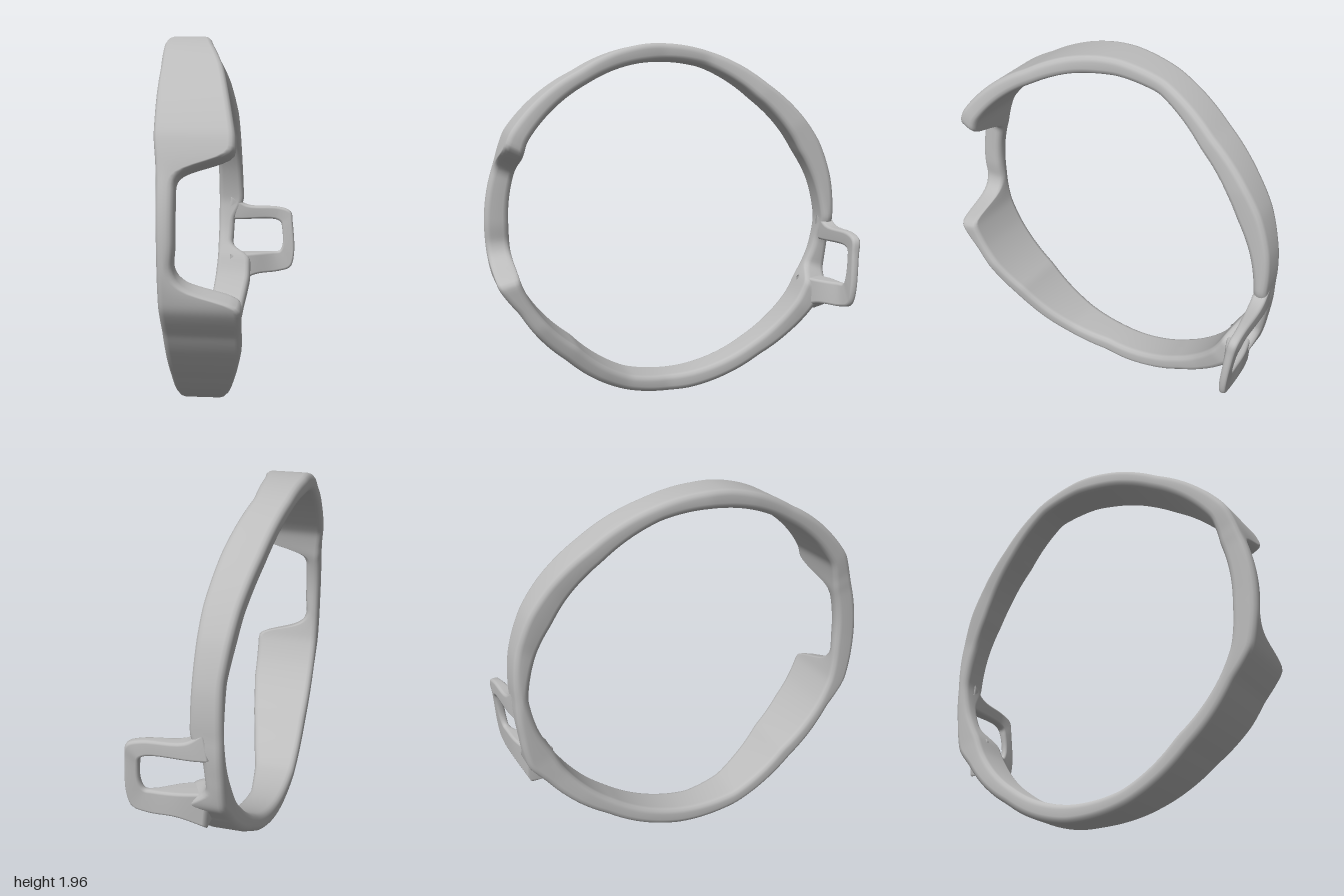
import * as THREE from 'three';

// Outline of the band: [angle from front over the top, outer radius, inner radius]
const RADII = [
  [0, 1.0, 0.87], [20, 1.0, 0.88], [30, 1.02, 0.915], [59, 0.972, 0.886], [84, 0.985, 0.885],
  [106, 0.98, 0.893], [128, 0.968, 0.86], [154, 1.0, 0.862], [167, 0.998, 0.89], [181, 0.985, 0.915],
  [193, 1.0, 0.9], [204, 1.03, 0.875], [211, 1.0, 0.88], [236, 0.962, 0.868], [263, 0.98, 0.88],
  [285, 0.975, 0.885], [310, 0.938, 0.84], [333, 0.958, 0.875], [343, 1.005, 0.885], [356, 1.0, 0.87],
  [360, 1.0, 0.87],
];
// Width of the band: [angle, right edge x, left edge x]; the steps form the front notch
const WIDTHS = [
  [0, -0.25, -0.17], [18, -0.255, -0.17], [21, -0.26, -0.13], [23, -0.26, 0.0], [25, -0.265, 0.1],
  [30, -0.275, 0.1], [59, -0.3, 0.01], [74, -0.32, -0.06], [90, -0.33, -0.11], [106, -0.31, -0.12],
  [128, -0.25, -0.05], [145, -0.2, -0.02], [165, -0.16, -0.01], [181, -0.16, 0], [188, -0.16, -0.06],
  [199, -0.16, -0.07], [204, -0.16, 0.05], [213, -0.17, 0.05], [225, -0.19, 0.02], [250, -0.22, -0.02],
  [270, -0.24, -0.045], [285, -0.25, -0.01], [295, -0.25, 0.03], [310, -0.25, 0.08], [325, -0.25, 0.12],
  [343, -0.25, 0.13], [345, -0.25, 0.11], [347, -0.25, -0.06], [350, -0.25, -0.15], [354, -0.25, -0.18],
  [360, -0.25, -0.17],
];
// Side loop: [inner x, inner y, outer x, outer y, back z, front z]
const LOOP = [
  [-0.1, 0.83, -0.08, 0.99, -0.985, -0.91], [-0.02, 0.83, 0.02, 0.925, -0.995, -0.92],
  [0.2, 0.83, 0.23, 0.91, -1, -0.95], [0.24, 0.81, 0.305, 0.88, -1, -0.95],
  [0.25, 0.77, 0.32, 0.8, -0.99, -0.945], [0.255, 0.67, 0.33, 0.6, -0.975, -0.935],
  [0.235, 0.625, 0.305, 0.515, -0.967, -0.93], [0.19, 0.62, 0.23, 0.49, -0.963, -0.915],
  [0.07, 0.62, 0.08, 0.48, -0.955, -0.84], [-0.08, 0.62, -0.06, 0.42, -0.92, -0.79],
];

// Table lookup, averaged over a few degrees to round the corners
function lookup(table, angle) {
  const out = [0, 0];
  for (let k = -2; k <= 2; k++) {
    const a = (angle + k * 0.75 + 360) % 360;
    const i = table.findIndex((row) => row[0] > a);
    const p = table[i - 1], q = table[i];
    const t = (a - p[0]) / (q[0] - p[0]);
    for (let c = 0; c < 2; c++) out[c] += (p[c + 1] + (q[c + 1] - p[c + 1]) * t) / 5;
  }
  return out;
}

// Rounded four-sided section from corners (inner/outer u, first/second v side)
function roundedSection([c00, c10, c11, c01], radius) {
  const ru = Math.min(0.45, radius / c00.distanceTo(c10));
  const rv = Math.min(0.45, radius / c00.distanceTo(c01));
  const pts = [];
  const centres = [[1 - ru, 1 - rv], [ru, 1 - rv], [ru, rv], [1 - ru, rv]];
  centres.forEach(([cu, cv], q) => {
    for (let k = 0; k <= 3; k++) {
      const a = (q + k / 3) * Math.PI / 2;
      const u = cu + ru * Math.cos(a), v = cv + rv * Math.sin(a);
      const low = c00.clone().lerp(c10, u), high = c01.clone().lerp(c11, u);
      pts.push(low.lerp(high, v));
    }
  });
  return pts;
}

// Skin a row of sections, either joined end to end or capped
function loft(sections, closed) {
  const n = sections[0].length, rows = sections.length;
  const points = sections.flat();
  const index = [];
  for (let i = 0; i < (closed ? rows : rows - 1); i++) {
    const a = i * n, b = ((i + 1) % rows) * n;
    for (let j = 0; j < n; j++) {
      const k = (j + 1) % n;
      index.push(a + j, a + k, b + j, a + k, b + k, b + j);
    }
  }
  if (!closed) {
    const e = (rows - 1) * n;
    for (let j = 1; j < n - 1; j++) index.push(0, j + 1, j, e, e + j, e + j + 1);
  }
  const geo = new THREE.BufferGeometry().setFromPoints(points);
  geo.setIndex(index);
  geo.computeVertexNormals();
  return geo;
}

function bandGeometry() {
  const sections = [];
  for (let deg = 0; deg < 360; deg++) {
    const [rOut, rIn] = lookup(RADII, deg);
    const [x0, x1] = lookup(WIDTHS, deg);
    const a = THREE.MathUtils.degToRad(deg);
    const at = (r, x) => new THREE.Vector3(x, 0.97 + r * Math.sin(a), r * Math.cos(a));
    sections.push(roundedSection([at(rIn, x0), at(rOut, x0), at(rOut, x1), at(rIn, x1)], 0.032));
  }
  return loft(sections, true);
}

function loopGeometry() {
  const curve = (fn) => new THREE.CatmullRomCurve3(LOOP.map(fn));
  const corners = [
    curve((p) => new THREE.Vector3(p[0], p[1], p[4])),
    curve((p) => new THREE.Vector3(p[2], p[3], p[4])),
    curve((p) => new THREE.Vector3(p[2], p[3], p[5])),
    curve((p) => new THREE.Vector3(p[0], p[1], p[5])),
  ];
  const sections = [];
  for (let i = 0; i <= 54; i++) {
    sections.push(roundedSection(corners.map((c) => c.getPoint(i / 54)), 0.016));
  }
  return loft(sections, false);
}

export function createModel() {
  const grey = new THREE.MeshStandardMaterial({ color: 0xbcbcbc });
  grey.name = 'light grey';
  const model = new THREE.Group();
  model.name = 'notchedBand';
  const add = (name, geometry) => {
    const mesh = new THREE.Mesh(geometry, grey);
    mesh.name = name;
    model.add(mesh);
  };
  add('band', bandGeometry());
  add('sideLoop', loopGeometry());
  return model;
}
